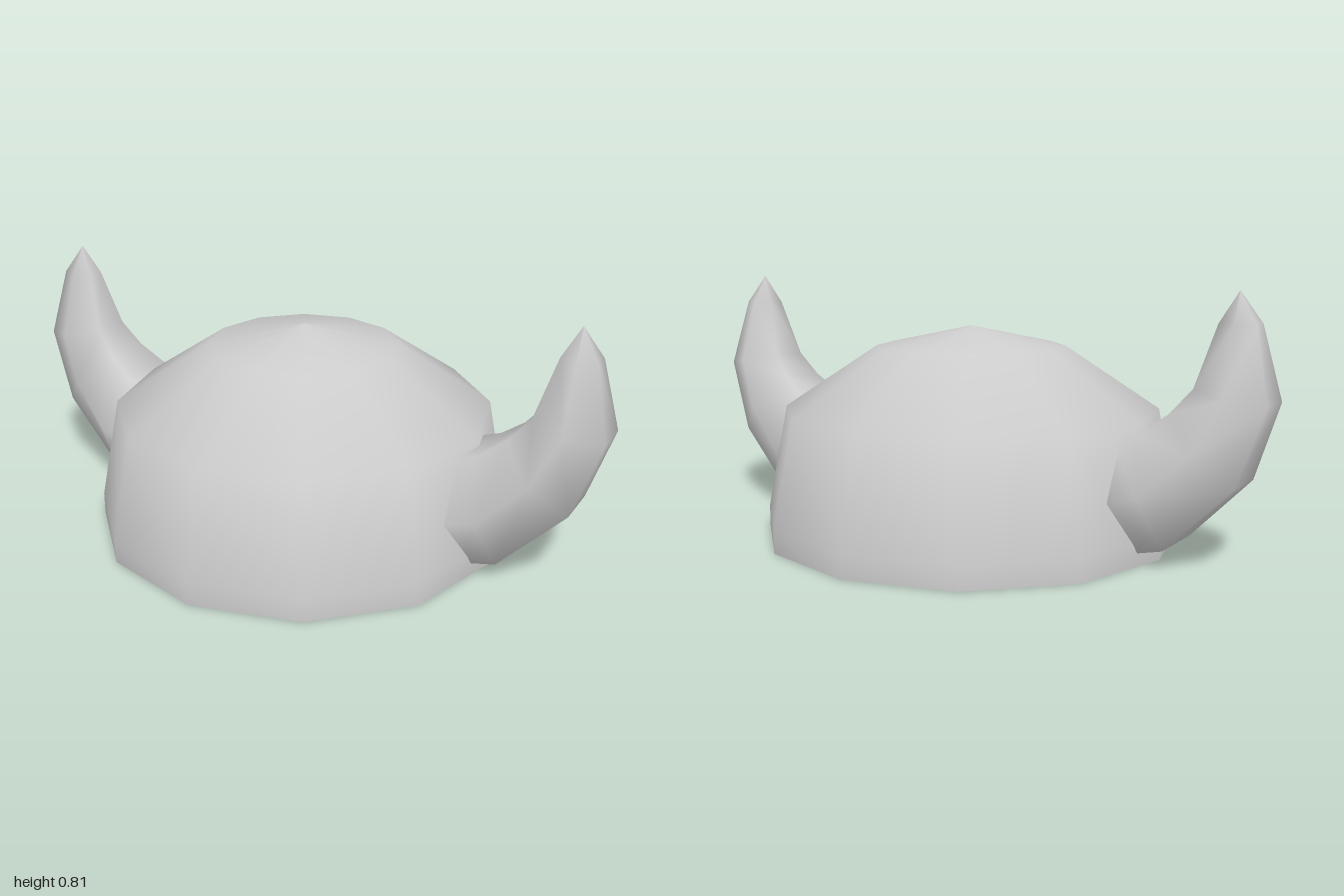
import * as THREE from 'three';

const SIDES = 6;

// Horn sections: [upper x, upper y, lower x, lower y, half width]
const HORN = [
  [0.56, 0.368, 0.62, 0.035, 0.2],
  [0.64, 0.395, 0.72, 0.058, 0.2],
  [0.72, 0.455, 0.92, 0.26, 0.158],
  [0.785, 0.53, 1.0, 0.495, 0.125],
  [0.84, 0.715, 0.95, 0.715, 0.055],
  [0.89, 0.808, 0.89, 0.808, 0],
];

// Closed end inside the helmet, from its middle out to the horn's first section
const PLUG = [
  [0.585, 0.2, 0.585, 0.2, 0],
  [0.56, 0.34, 0.61, 0.06, 0.165],
  HORN[0],
];

// Joins six-sided sections into a skin; side is +1 (left) or -1 (right)
function loft(sections, side) {
  const pos = [], index = [];
  for (const [ux, uy, lx, ly, w] of sections) {
    for (let j = 0; j < SIDES; j++) {
      const a = ((j + 0.5) * 2 * Math.PI) / SIDES;
      const t = 0.5 - Math.cos(a) / Math.sqrt(3); // 0 = upper, 1 = lower
      pos.push(side * (ux + (lx - ux) * t), uy + (ly - uy) * t, w * Math.sin(a));
    }
  }
  const tri = (a, b, c) => (side > 0 ? index.push(a, b, c) : index.push(a, c, b));
  for (let i = 0; i < sections.length - 1; i++) {
    for (let j = 0; j < SIDES; j++) {
      const a = i * SIDES + j, b = i * SIDES + ((j + 1) % SIDES);
      if (sections[i][4] > 0) tri(a, b, a + SIDES);
      if (sections[i + 1][4] > 0) tri(b, b + SIDES, a + SIDES);
    }
  }
  const g = new THREE.BufferGeometry();
  g.setAttribute('position', new THREE.Float32BufferAttribute(pos, 3));
  g.setIndex(index);
  g.computeVertexNormals();
  return g;
}

export function createModel() {
  const group = new THREE.Group();
  const metal = new THREE.MeshStandardMaterial({ color: 0xcccccc, side: THREE.DoubleSide });
  const hornMat = new THREE.MeshStandardMaterial({ color: 0xcccccc });
  const plugMat = new THREE.MeshStandardMaterial({ color: 0xcccccc, flatShading: true });
  const add = (parent, name, geometry, material) => {
    const mesh = new THREE.Mesh(geometry, material);
    mesh.name = name;
    parent.add(mesh);
  };

  // Open twelve-sided dome
  const profile = [[0.67, 0], [0.67, 0.07], [0.605, 0.405], [0.305, 0.605], [0, 0.67]];
  add(group, 'helmetShell',
    new THREE.LatheGeometry(profile.map(([r, y]) => new THREE.Vector2(r, y)), 12), metal);

  // Mirrored horns
  for (const side of [1, -1]) {
    const horn = new THREE.Group();
    horn.name = side > 0 ? 'leftHorn' : 'rightHorn';
    add(horn, 'hornSkin', loft(HORN, side), hornMat);
    add(horn, 'hornInnerEnd', loft(PLUG, side), plugMat);
    group.add(horn);
  }
  return group;
}
